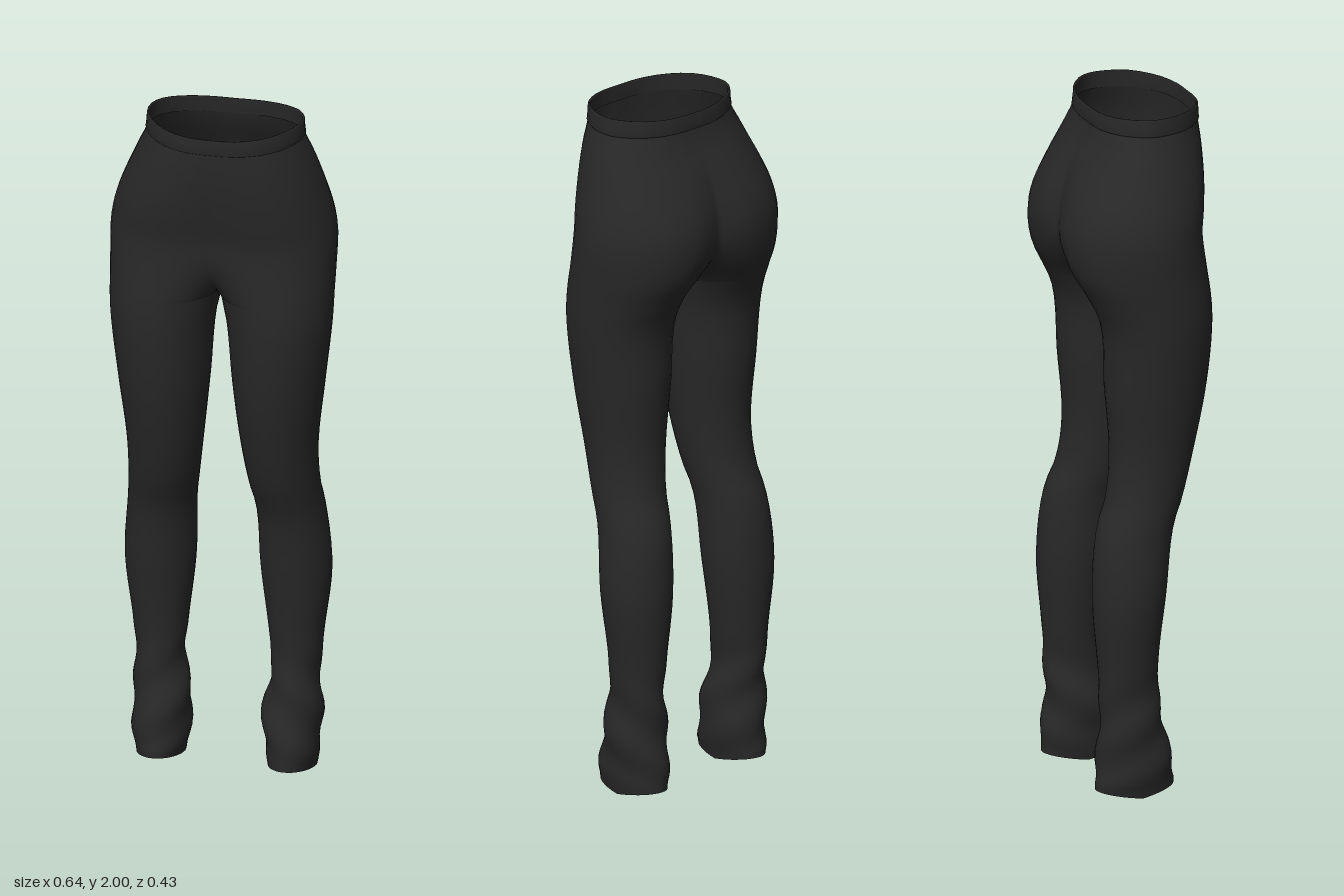
import * as THREE from 'three';
import { mergeVertices } from 'three/addons/utils/BufferGeometryUtils.js';

const CROTCH = 1.47, AROUND = 36;

// Half cross-sections: height, inner x, lobe centre x, outer x, side z, front z, back z
const KEYS = [
  [0.00, 0.120, 0.188, 0.256, -0.040, 0.080, -0.153],
  [0.06, 0.112, 0.188, 0.264, -0.040, 0.078, -0.153],
  [0.15, 0.103, 0.186, 0.270, -0.042, 0.060, -0.143],
  [0.30, 0.126, 0.195, 0.263, -0.055, 0.030, -0.141],
  [0.40, 0.117, 0.195, 0.272, -0.058, 0.028, -0.147],
  [0.60, 0.094, 0.194, 0.295, -0.055, 0.050, -0.160],
  [0.80, 0.086, 0.182, 0.280, -0.032, 0.080, -0.140],
  [0.87, 0.074, 0.174, 0.273, -0.005, 0.108, -0.112],
  [1.00, 0.056, 0.164, 0.272, 0.022, 0.145, -0.095],
  [1.20, 0.034, 0.163, 0.294, 0.035, 0.185, -0.108],
  [1.40, 0.016, 0.164, 0.316, 0.036, 0.200, -0.122],
  [1.47, 0.000, 0.155, 0.318, 0.030, 0.197, -0.155],
  [1.55, 0.000, 0.135, 0.320, 0.015, 0.190, -0.196],
  [1.65, 0.000, 0.110, 0.321, 0.000, 0.185, -0.212],
  [1.72, 0.000, 0.100, 0.309, 0.000, 0.196, -0.199],
  [1.80, 0.000, 0.080, 0.284, 0.008, 0.207, -0.163],
  [1.90, 0.000, 0.050, 0.246, 0.020, 0.213, -0.112],
  [1.95, 0.000, 0.035, 0.224, 0.030, 0.212, -0.097],
  [2.00, 0.000, 0.030, 0.219, 0.030, 0.211, -0.093],
];
const section = new THREE.CubicInterpolant(
  KEYS.map(k => k[0]), KEYS.flatMap(k => k.slice(1)), 6, new Float32Array(6));

const { lerp, clamp, smoothstep } = THREE.MathUtils;

// One point of the left half: a runs from the inner seam by the front and outside to the back
function halfPoint(y, a, grow, side) {
  let [xi, cx, xo, zm, zf, zb] = section.evaluate(y);
  if (y >= CROTCH) xi = 0;
  xo += grow; zf += grow; zb -= grow;

  // the seam opens from one inner line on the leg into centre front and centre back
  const t = clamp((y - CROTCH) / 0.16, 0, 1);
  const open = Math.sqrt(1 - (1 - t) ** 2);
  const cleft = 0.026 * (1 - smoothstep(y, 1.66, 1.88));
  const front = a <= Math.PI;
  const seam = lerp(zm, front ? zf - 0.2 * cleft : zb + cleft, open);

  const c = Math.cos(a), s = Math.abs(Math.sin(a));
  const peak = front ? zf : zb;
  let x, z;
  if (c > 0) {
    const straight = (front ? a : 2 * Math.PI - a) / (Math.PI / 2);
    x = xi + (cx - xi) * lerp(1 - c, straight, open);
    z = lerp(seam, peak, s);
  } else {
    x = cx - (xo - cx) * c;
    z = lerp(zm, peak, s);
  }

  // loose folds above the hem, and an uneven hem edge
  const loose = (1 - smoothstep(y, 0.2, 0.42)) * smoothstep(y, 0.0, 0.1);
  const fold = 0.006 * loose * Math.sin(y * 38 + 2 * a + side);
  x -= fold * c;
  z += fold * Math.sin(a);
  const hem = 1 - smoothstep(y, 0, 0.06);
  let py = y + hem * (0.004 + 0.16 * Math.abs(z + 0.04) - 0.004 * side);

  // slight dip of the waist at the centre
  py -= 0.01 * clamp((y - 1.88) / 0.12, 0, 1) * Math.max(0, 1 - (x / 0.2) ** 2);
  const lean = 0.012 * smoothstep(y, 1.7, 1.95);
  return [side * x + lean, py, z];
}

// Loft both halves through rows of [height, outward growth] into one smooth surface
function loft(rows) {
  const pos = [], idx = [], w = AROUND + 1;
  for (const side of [1, -1]) {
    const base = pos.length / 3;
    rows.forEach(([y, grow], r) => {
      for (let i = 0; i <= AROUND; i++) {
        // snap the end of the loop exactly on to its seam
        const a = i === AROUND ? 2 * Math.PI : (i / AROUND) * 2 * Math.PI;
        pos.push(...halfPoint(y, a, grow, side));
        if (r === 0 || i === 0) continue;
        const d = base + r * w + i, c = d - 1, b = d - w, e = b - 1;
        if (side > 0) idx.push(e, b, d, e, d, c);
        else idx.push(e, d, b, e, c, d);
      }
    });
  }
  let geo = new THREE.BufferGeometry();
  geo.setAttribute('position', new THREE.Float32BufferAttribute(pos, 3));
  geo.setIndex(idx);
  geo = mergeVertices(geo, 1e-4);
  geo.computeVertexNormals();
  return geo;
}

function steps(from, to, count) {
  return Array.from({ length: count + 1 }, (_, i) => [lerp(from, to, i / count), 0]);
}

export function createModel() {
  const group = new THREE.Group();
  group.name = 'leggings';
  const fabric = new THREE.MeshStandardMaterial({ color: 0x282828, side: THREE.DoubleSide });
  fabric.name = 'charcoal fabric';

  const add = (name, rows) => {
    const mesh = new THREE.Mesh(loft(rows), fabric);
    mesh.name = name;
    group.add(mesh);
  };

  // legs and seat in one piece, with closer rows around the crotch
  add('legsAndSeat', [
    ...steps(0, 0.44, 22),
    ...steps(0.48, CROTCH, 26),
    ...[0.003, 0.01, 0.02, 0.035, 0.055, 0.08, 0.11, 0.14].map(d => [CROTCH + d, 0]),
    ...steps(1.64, 1.95, 12),
  ]);

  // waistband folded over at the top
  add('waistband', [[1.95, 0], [1.954, 0.004], [1.975, 0.004], [1.997, 0.004],
    [2, 0.002], [2, -0.001], [1.997, -0.003], [1.95, -0.003]]);

  return group;
}
